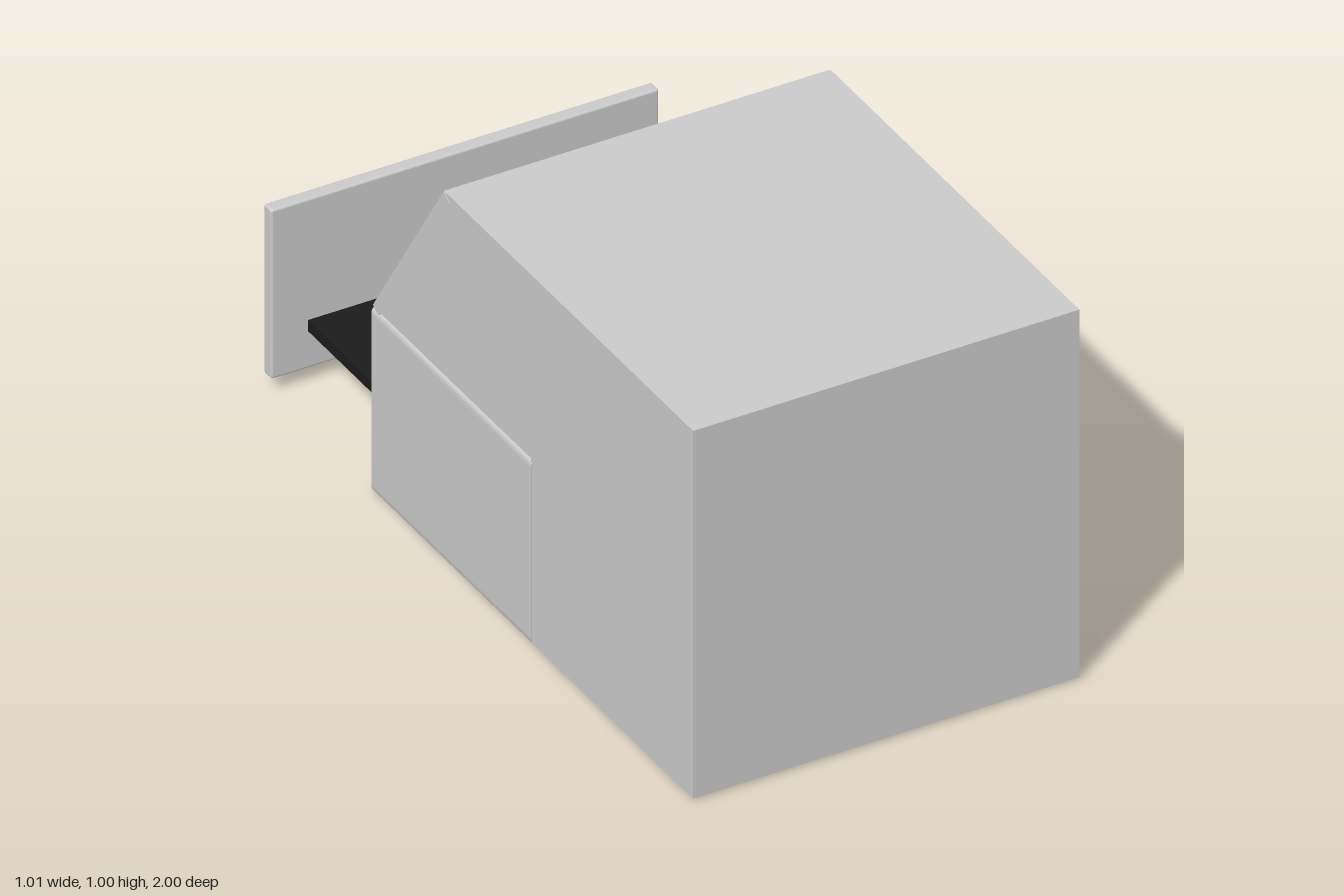
import * as THREE from 'three';
import { RoundedBoxGeometry } from 'three/addons/geometries/RoundedBoxGeometry.js';

const mat = (color) => new THREE.MeshStandardMaterial({ color });

// Rounded rectangle centred on (0, cy)
function roundRect(target, w, h, r, cy = 0) {
  const x = w / 2, y0 = cy - h / 2, y1 = cy + h / 2;
  target.moveTo(-x + r, y0);
  target.lineTo(x - r, y0);
  target.quadraticCurveTo(x, y0, x, y0 + r);
  target.lineTo(x, y1 - r);
  target.quadraticCurveTo(x, y1, x - r, y1);
  target.lineTo(-x + r, y1);
  target.quadraticCurveTo(-x, y1, -x, y1 - r);
  target.lineTo(-x, y0 + r);
  target.quadraticCurveTo(-x, y0, -x + r, y0);
  return target;
}

// Extruded rectangular ring
function ring(w, h, r, holeW, holeH, holeR, depth, cy = 0) {
  const shape = roundRect(new THREE.Shape(), w, h, r, cy);
  shape.holes.push(roundRect(new THREE.Path(), holeW, holeH, holeR, cy));
  return new THREE.ExtrudeGeometry(shape, { depth, bevelEnabled: false, curveSegments: 5 });
}

export function createModel() {
  const model = new THREE.Group();
  const grey = mat(0xcccccc), black = mat(0x1c1c1c), dark = mat(0x333333);
  const bezelBlack = mat(0x0c0c0c), blue = mat(0x1a9fd9), wellDark = mat(0x2a2a2e);

  const add = (name, geometry, material, x = 0, y = 0, z = 0, parent = model) => {
    const mesh = new THREE.Mesh(geometry, material);
    mesh.name = name;
    mesh.position.set(x, y, z);
    parent.add(mesh);
    return mesh;
  };
  // Box given by its limits on each axis
  const block = (name, material, [x0, x1], [y0, y1], [z0, z1], r = 0) => {
    const size = [x1 - x0, y1 - y0, z1 - z0];
    const geometry = r ? new RoundedBoxGeometry(...size, 2, r) : new THREE.BoxGeometry(...size);
    return add(name, geometry, material, (x0 + x1) / 2, (y0 + y1) / 2, (z0 + z1) / 2);
  };

  // Housing: side profile in (z, y), with the sloped face set back for the frame
  const top = new THREE.Vector2(-0.13, 1), foot = new THREE.Vector2(-0.455, 0.505);
  const slope = top.clone().sub(foot), length = slope.length();
  slope.normalize();
  const inset = 0.03;
  const inward = new THREE.Vector2(slope.y, -slope.x).multiplyScalar(inset);
  const innerTop = top.clone().add(inward);
  const innerFootZ = innerTop.x - (innerTop.y - foot.y) * slope.x / slope.y;
  const profile = new THREE.Shape([
    new THREE.Vector2(1, 0.01), new THREE.Vector2(1, 1), top, innerTop,
    new THREE.Vector2(innerFootZ, foot.y), new THREE.Vector2(0.265, foot.y), new THREE.Vector2(0.265, 0.01),
  ]);
  const housing = new THREE.ExtrudeGeometry(profile, { depth: 1, bevelEnabled: false });
  housing.rotateY(-Math.PI / 2).translate(0.5, 0, 0);
  add('housing', housing, grey);

  // Sloped display panel
  const display = new THREE.Group();
  display.name = 'displayPanel';
  display.position.set(0, (top.y + foot.y) / 2, (top.x + foot.x) / 2);
  display.lookAt(display.position.clone().add(new THREE.Vector3(0, slope.x, -slope.y)));
  model.add(display);
  add('displayFrame', ring(1, length, 0.006, 0.92, 0.488, 0.008, inset), grey, 0, 0, -inset, display);
  add('displayBezel', new THREE.BoxGeometry(0.88, 0.435, 0.02), bezelBlack, 0, -0.004, -0.02, display);
  add('displayScreen', new THREE.BoxGeometry(0.8, 0.352, 0.004), blue, 0, -0.006, -0.009, display);

  // Drawer bay: rounded sleeve open at the drawer end
  add('drawerBay', ring(1.006, 0.5, 0.02, 0.96, 0.46, 0.015, 0.725, 0.254), grey, 0, 0, -0.455);

  // Sliding tray, plate holder and well plate
  block('drawerTray', black, [-0.407, 0.407], [0.145, 0.175], [-0.912, 0.03]);
  block('plateHolder', black, [-0.305, 0.305], [0.165, 0.212], [-0.81, -0.38], 0.012);
  block('wellPlate', grey, [-0.26, 0.26], [0.208, 0.235], [-0.77, -0.42], 0.004);
  const wellGeometry = new THREE.CylinderGeometry(0.0145, 0.0145, 0.012, 16);
  const wells = new THREE.Group();
  wells.name = 'wells';
  model.add(wells);
  for (let row = 0; row < 8; row++) {
    for (let col = 0; col < 12; col++) {
      add('well', wellGeometry, wellDark, (col - 5.5) * 0.0364, 0.236, -0.724 + row * 0.0364, wells);
    }
  }

  // Drawer front with handle and knob
  block('drawerFront', grey, [-0.502, 0.502], [0.045, 0.5], [-0.945, -0.91], 0.006);
  block('drawerHandle', dark, [0.132, 0.402], [0.148, 0.222], [-1, -0.943], 0.005);
  add('drawerKnob', new THREE.SphereGeometry(0.024, 24, 16), grey, 0.368, 0.302, -0.952);

  return model;
}
